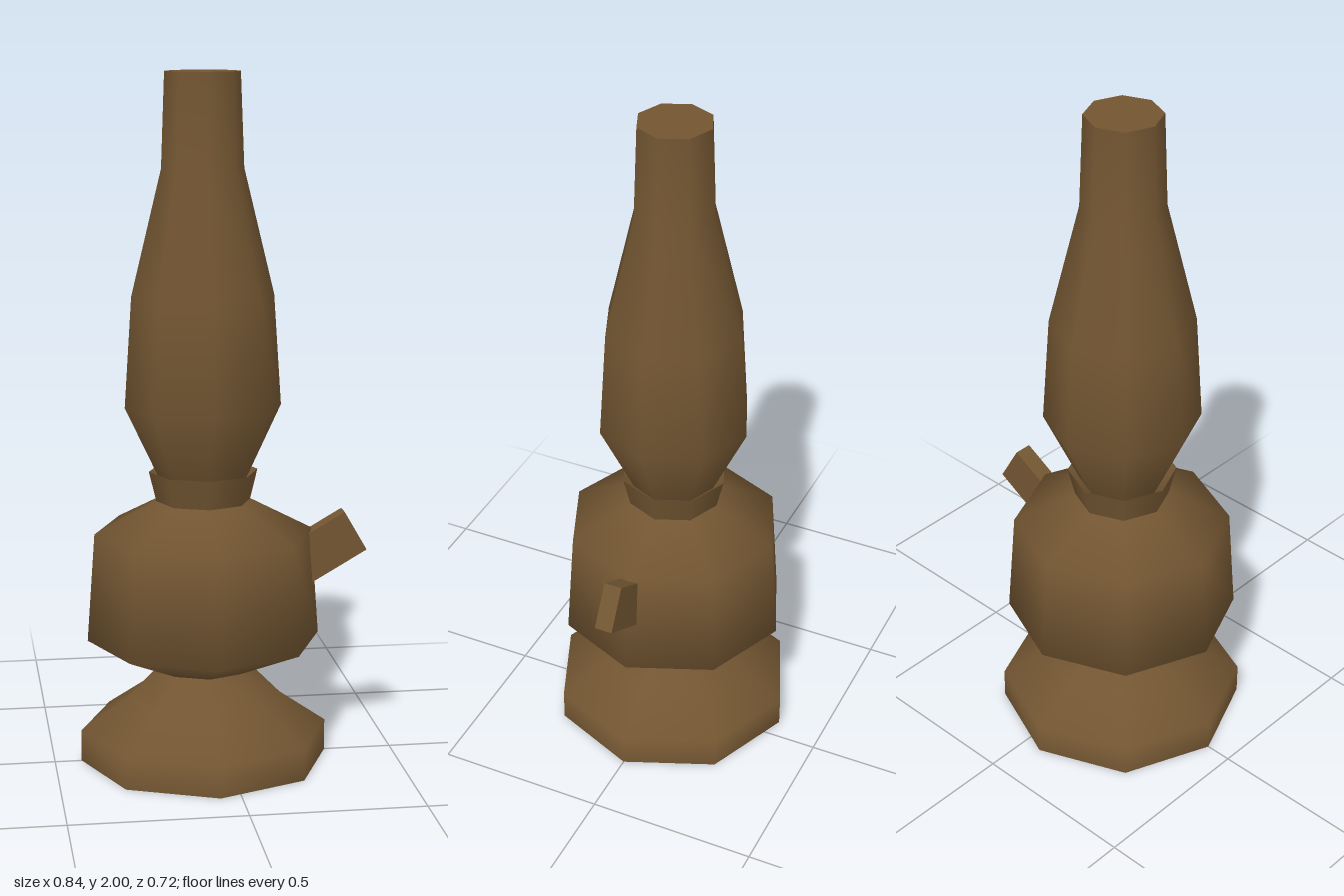
import * as THREE from 'three';

export function createModel() {
  const model = new THREE.Group();
  const bronze = new THREE.MeshStandardMaterial({ color: 0x735632 });
  bronze.name = 'bronze';

  const lamp = new THREE.Group();
  lamp.name = 'lamp';
  lamp.position.x = -0.06;
  model.add(lamp);

  // Eight-sided turned part from [radius, height] points, listed bottom to top
  function turned(name, profile) {
    const points = profile.map(([r, y]) => new THREE.Vector2(r, y));
    const mesh = new THREE.Mesh(new THREE.LatheGeometry(points, 8), bronze);
    mesh.name = name;
    lamp.add(mesh);
  }

  // Foot and its flat underside
  turned('footUnderside', [[0, 0], [0.362, 0]]);
  turned('foot', [[0.362, 0], [0.362, 0.092], [0.226, 0.185], [0.137, 0.275]]);

  // Fuel tank
  turned('tank', [[0.137, 0.275], [0.34, 0.365], [0.317, 0.682], [0.137, 0.775]]);

  // Flared collar with a shallow recess
  turned('collar', [[0.137, 0.775], [0.158, 0.862]]);
  turned('collarRecess', [[0.158, 0.862], [0.125, 0.835]]);

  // Chimney and its closed top
  turned('chimney', [[0.125, 0.835], [0.226, 1.05], [0.205, 1.37], [0.118, 1.73], [0.108, 2]]);
  turned('chimneyTop', [[0.108, 2], [0, 2]]);

  // Slanted wick knob on the side of the tank
  const knob = new THREE.Mesh(new THREE.BoxGeometry(0.24, 0.133, 0.053), bronze);
  knob.name = 'wickKnob';
  knob.position.set(0.281, 0.613, 0);
  knob.rotation.z = Math.PI / 6;
  model.add(knob);

  return model;
}
